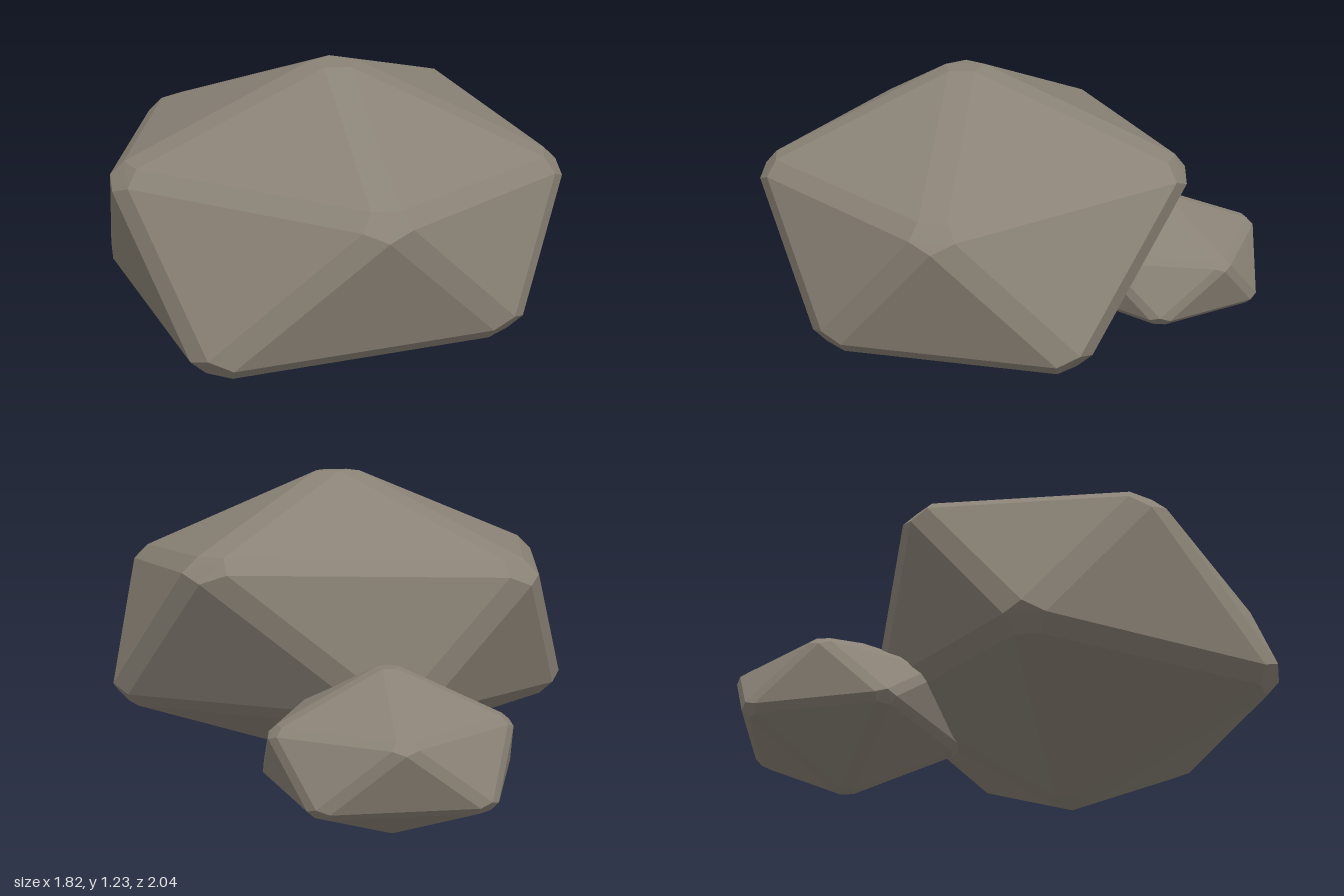
import * as THREE from 'three';
import { ConvexGeometry } from 'three/addons/geometries/ConvexGeometry.js';

// Twenty-sided boulder with bevelled edges: top, bottom and two staggered rings of five.
// upper[i] sits between lower[i] and lower[i + 1], running round the rock.
function boulderGeometry(top, upper, lower, bottom, bevel) {
  const v = (p) => new THREE.Vector3(...p);
  const T = v(top), B = v(bottom), U = upper.map(v), L = lower.map(v);
  const faces = [];
  for (let i = 0; i < 5; i++) {
    const j = (i + 1) % 5;
    faces.push([T, U[i], U[j]], [U[i], L[i], L[j]], [U[i], L[j], U[j]], [B, L[i], L[j]]);
  }
  // Shrink each face toward its centre; the hull fills in the bevels
  const points = [];
  for (const face of faces) {
    const centre = new THREE.Vector3();
    face.forEach((p) => centre.addScaledVector(p, 1 / 3));
    face.forEach((p) => points.push(p.clone().lerp(centre, bevel)));
  }
  return new ConvexGeometry(points);
}

export function createModel() {
  const group = new THREE.Group();
  group.name = 'boulders';
  const stone = new THREE.MeshStandardMaterial({ color: 0x8a8276, flatShading: true });
  stone.name = 'stone';

  const add = (name, geometry) => {
    const mesh = new THREE.Mesh(geometry, stone);
    mesh.name = name;
    group.add(mesh);
  };

  // Large boulder
  add('largeBoulder', boulderGeometry(
    [0.05, 1.275, 0.13],
    [[0.52, 0.91, 0.81], [0.92, 0.88, -0.08], [0.16, 0.97, -0.83], [-0.87, 0.92, -0.1], [-0.6, 0.91, 0.74]],
    [[-0.08, 0.32, 1.05], [0.87, 0.36, 0.38], [0.73, 0.35, -0.57], [-0.48, 0.36, -0.45], [-0.87, 0.36, 0.36]],
    [0.06, -0.02, 0.13], 0.18));

  // Small boulder leaning against its back
  add('smallBoulder', boulderGeometry(
    [-0.46, 0.63, -0.54],
    [[-0.17, 0.44, -0.92], [-0.08, 0.43, -0.4], [-0.48, 0.43, -0.15], [-0.89, 0.44, -0.42], [-0.69, 0.46, -0.95]],
    [[-0.4, 0.2, -1.03], [-0.02, 0.2, -0.69], [-0.2, 0.2, -0.2], [-0.81, 0.2, -0.17], [-0.92, 0.2, -0.71]],
    [-0.48, -0.02, -0.55], 0.18));

  return group;
}
